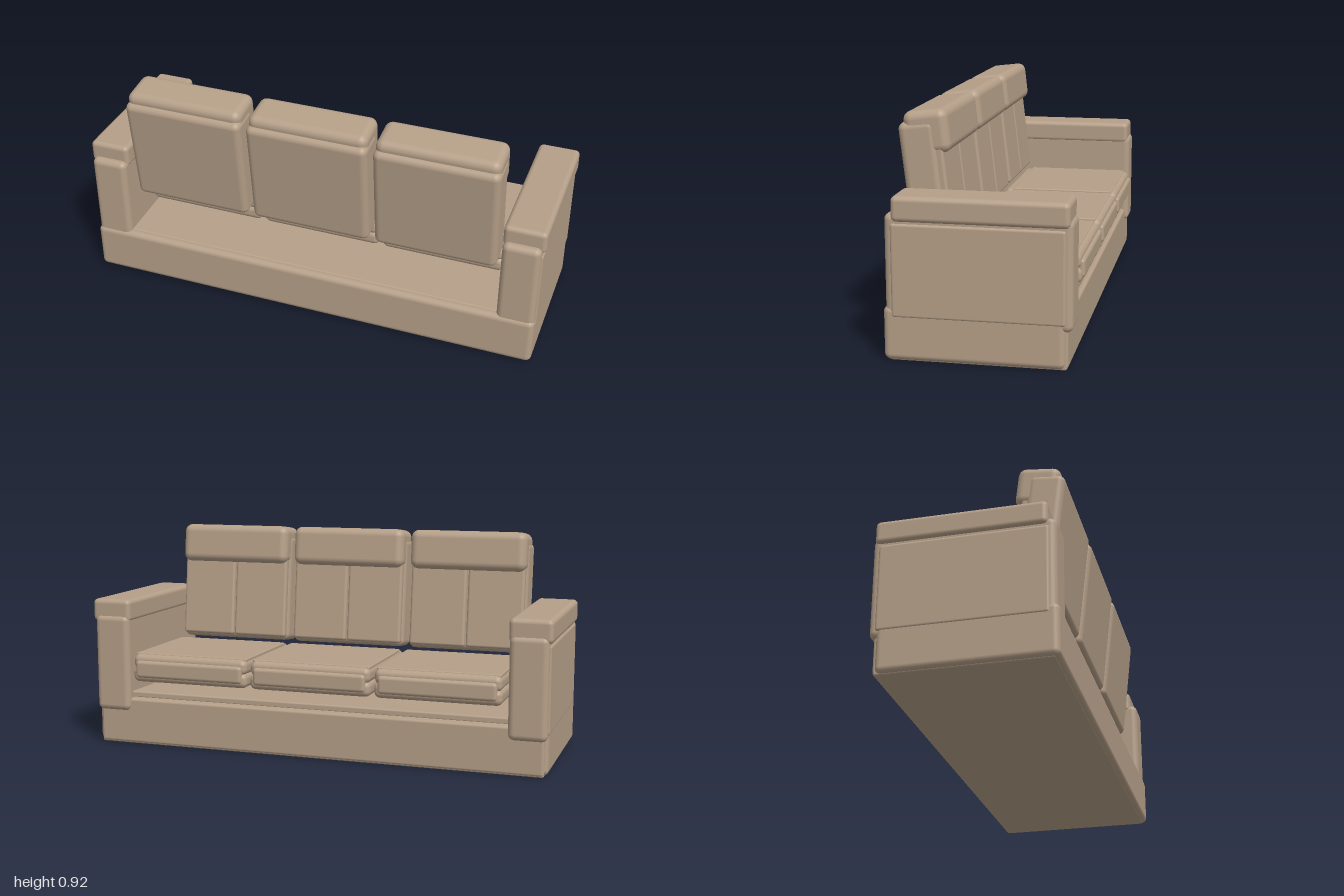
import * as THREE from 'three';
import { RoundedBoxGeometry } from 'three/addons/geometries/RoundedBoxGeometry.js';

const leather = new THREE.MeshStandardMaterial({ color: 0xb59f88 });
leather.name = 'tan leather';

// Rounded block given by its min and max corners
function block(parent, name, [x0, y0, z0], [x1, y1, z1], radius) {
  const geometry = new RoundedBoxGeometry(x1 - x0, y1 - y0, z1 - z0, 4, radius);
  const mesh = new THREE.Mesh(geometry, leather);
  mesh.name = name;
  mesh.position.set((x0 + x1) / 2, (y0 + y1) / 2, (z0 + z1) / 2);
  parent.add(mesh);
  return mesh;
}

function createSeat(x) {
  const seat = new THREE.Group();
  seat.name = 'seat';
  seat.position.x = x;
  // Two stacked cushion layers, a bulging front and a raised top panel
  block(seat, 'lowerCushion', [-0.264, 0.28, -0.355], [0.264, 0.345, 0.165], 0.025);
  block(seat, 'upperCushion', [-0.262, 0.335, -0.352], [0.262, 0.4, 0.165], 0.025);
  block(seat, 'cushionFront', [-0.245, 0.3, -0.365], [0.245, 0.375, -0.3], 0.015);
  block(seat, 'cushionTopPanel', [-0.256, 0.385, -0.33], [0.256, 0.405, 0.125], 0.006);
  return seat;
}

function createBackrest(x) {
  const back = new THREE.Group();
  back.name = 'backrest';
  back.position.set(x, 0.64, 0.25);
  back.rotation.x = 0.115; // leans away from the seat
  block(back, 'backCushion', [-0.259, -0.24, -0.07], [0.259, 0.238, 0.075], 0.028);
  // Paired front pads leave a vertical seam between them
  for (const s of [-1, 1]) {
    const inner = s * 0.003, outer = s * 0.25;
    block(back, 'backPad', [Math.min(inner, outer), -0.225, -0.089],
      [Math.max(inner, outer), 0.18, -0.04], 0.012);
  }
  // Headrest folded over the top edge
  block(back, 'headrest', [-0.255, 0.108, -0.119], [0.255, 0.277, 0.054], 0.034);
  return back;
}

function createArm(side) {
  const arm = new THREE.Group();
  arm.name = side > 0 ? 'leftArm' : 'rightArm';
  const c = side * 0.908;
  block(arm, 'armBody', [c - 0.079, 0.145, -0.35], [c + 0.079, 0.565, 0.355], 0.026);
  // Slightly proud outer panel
  const p = side * 0.98;
  block(arm, 'armSidePanel', [p - 0.013, 0.17, -0.325], [p + 0.013, 0.53, 0.33], 0.012);
  const q = side * 0.9125;
  block(arm, 'armPad', [q - 0.0875, 0.535, -0.34], [q + 0.0875, 0.632, 0.325], 0.02);
  return arm;
}

export function createModel() {
  const sofa = new THREE.Group();
  sofa.name = 'sofa';

  // Base with a deck under the cushions
  block(sofa, 'base', [-0.99, 0.004, -0.322], [0.99, 0.212, 0.363], 0.024);
  block(sofa, 'plinth', [-0.975, 0, -0.328], [0.975, 0.03, 0.345], 0.008);
  block(sofa, 'frontPanel', [-0.975, 0.004, -0.332], [0.975, 0.2, -0.29], 0.012);
  const deck = block(sofa, 'deck', [-0.835, 0.195, -0.315], [0.835, 0.224, 0.335], 0.008);
  deck.rotation.x = 0.02;

  for (const side of [-1, 1]) sofa.add(createArm(side));
  for (const x of [-0.543, 0, 0.543]) sofa.add(createSeat(x), createBackrest(x));
  return sofa;
}
